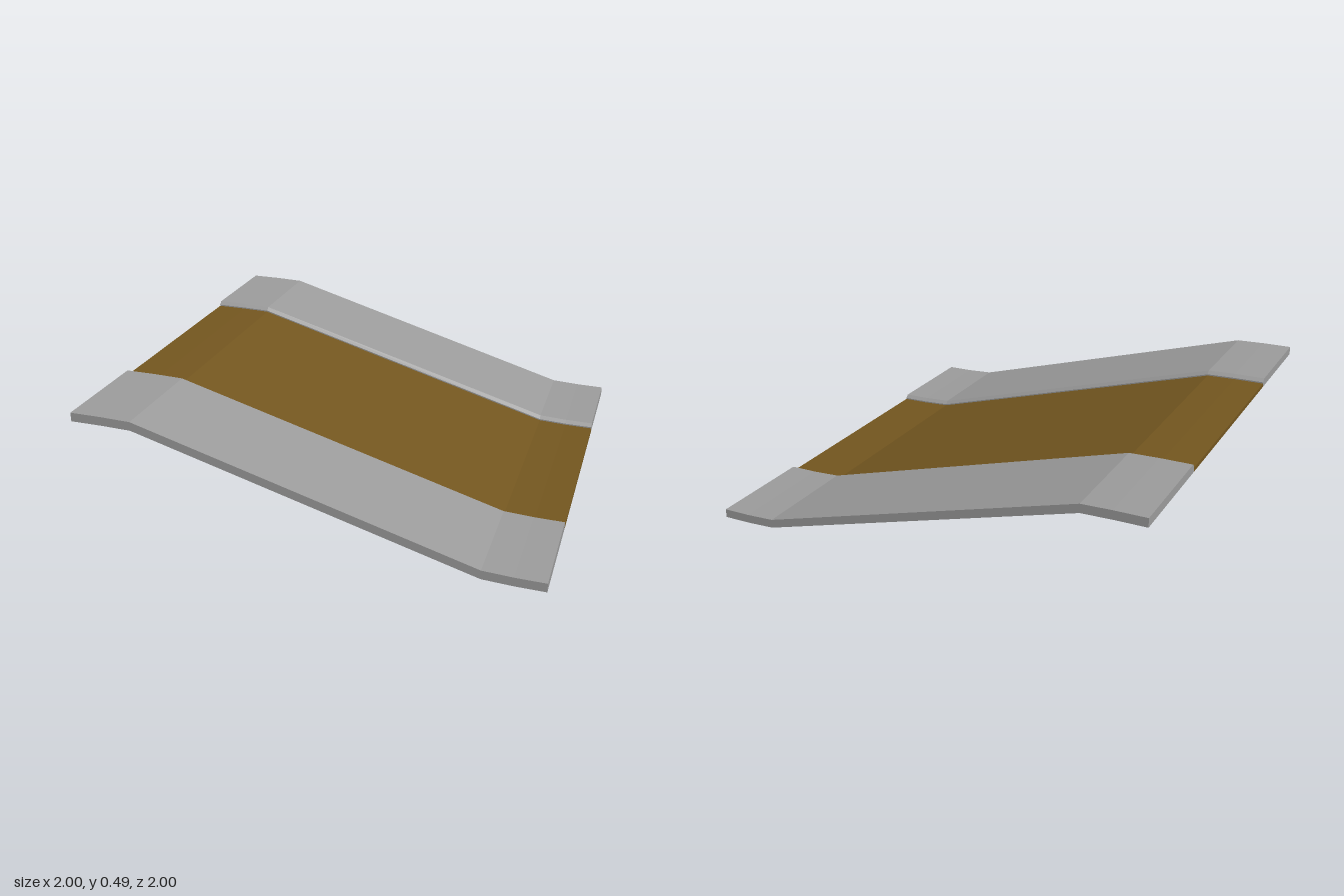
import * as THREE from 'three';

// Underside of the ramp as [x, y] stations, from the high end to the low end
const path = [[-1, 0.454], [-0.86, 0.452], [-0.73, 0.447], [0.74, 0.011], [0.87, 0.003], [1, 0]];

// Sweeps a convex [z, height] cross-section along the path and caps both ends
function sweep(section) {
  const rings = path.map(([x, y]) => section.map(([z, h]) => [x, y + h, z]));
  const n = section.length;
  const pos = [];
  const tri = (a, b, c) => pos.push(...a, ...b, ...c);
  for (let s = 0; s < rings.length - 1; s++) {
    for (let i = 0; i < n; i++) {
      const j = (i + 1) % n;
      const [r, q] = [rings[s], rings[s + 1]];
      tri(r[i], r[j], q[j]);
      tri(r[i], q[j], q[i]);
    }
  }
  const [first, last] = [rings[0], rings[rings.length - 1]];
  for (let i = 1; i < n - 1; i++) {
    tri(first[0], first[i + 1], first[i]);
    tri(last[0], last[i], last[i + 1]);
  }
  const geometry = new THREE.BufferGeometry();
  geometry.setAttribute('position', new THREE.Float32BufferAttribute(pos, 3));
  geometry.computeVertexNormals();
  return geometry;
}

export function createModel() {
  const group = new THREE.Group();
  group.name = 'slopedRoad';

  const paving = new THREE.MeshStandardMaterial({ color: 0x9b9b9b });
  paving.name = 'grey paving';
  const dirt = new THREE.MeshStandardMaterial({ color: 0x73561f });
  dirt.name = 'brown road';

  const add = (name, section, material) => {
    const mesh = new THREE.Mesh(sweep(section), material);
    mesh.name = name;
    group.add(mesh);
  };

  // Road bed, lower than the pavements
  add('road', [[-0.5, 0], [-0.5, 0.018], [0.5, 0.018], [0.5, 0]], dirt);

  // Pavements with a chamfered kerb, mirrored front to back
  const kerb = [[0.5, 0], [0.5, 0.024], [0.515, 0.039], [1, 0.039], [1, 0]];
  add('frontPavement', kerb, paving);
  add('backPavement', kerb.map(([z, h]) => [-z, h]).reverse(), paving);

  return group;
}
